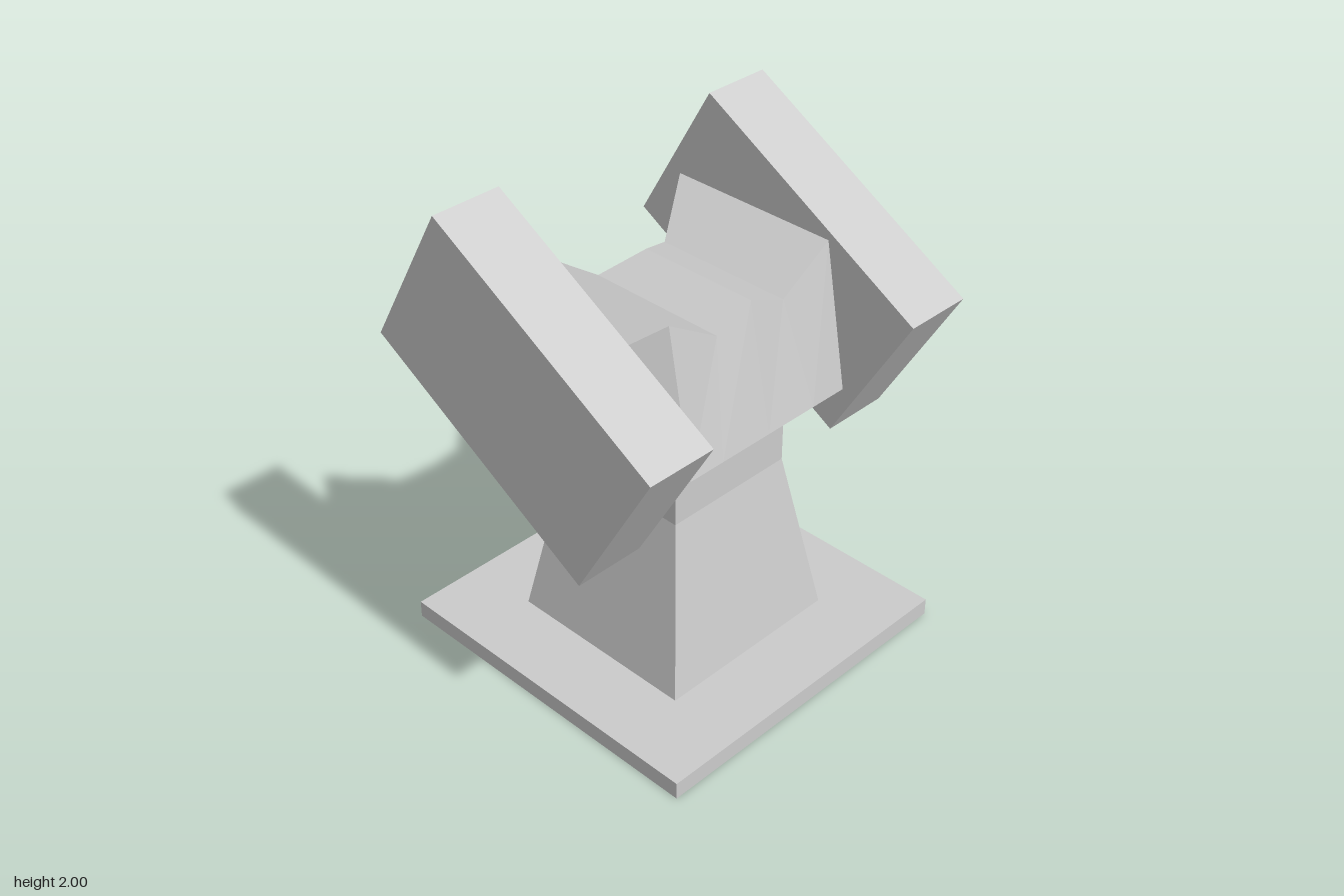
import * as THREE from 'three';

const material = new THREE.MeshStandardMaterial({ color: 0xcccccc, flatShading: true, side: THREE.DoubleSide });

// Joins four-cornered rings of [x, y, z] points; rings run counter-clockwise seen from outside the start.
function loft(name, rings, capStart, capEnd) {
  const pos = [];
  const quad = (a, b, c, d) => pos.push(...a, ...b, ...c, ...a, ...c, ...d);
  for (let i = 0; i < rings.length - 1; i++) {
    for (let k = 0; k < 4; k++) {
      const n = (k + 1) % 4;
      quad(rings[i][k], rings[i + 1][k], rings[i + 1][n], rings[i][n]);
    }
  }
  if (capStart) quad(...rings[0]);
  if (capEnd) quad(...[...rings[rings.length - 1]].reverse());
  const geometry = new THREE.BufferGeometry();
  geometry.setAttribute('position', new THREE.Float32BufferAttribute(pos, 3));
  geometry.computeVertexNormals();
  const mesh = new THREE.Mesh(geometry, material);
  mesh.name = name;
  return mesh;
}

// Rectangle in the xy plane at depth z.
const rect = (w, h, y, z) => [
  [-w / 2, y - h / 2, z], [w / 2, y - h / 2, z], [w / 2, y + h / 2, z], [-w / 2, y + h / 2, z],
];

// Hollow square shell open below, turned from half-width / height pairs.
function squareShell(name, profile) {
  const points = profile.map(([half, y]) => new THREE.Vector2(half * Math.SQRT2, y));
  const geometry = new THREE.LatheGeometry(points, 4).rotateY(Math.PI / 4);
  const mesh = new THREE.Mesh(geometry, material);
  mesh.name = name;
  mesh.position.set(0.077, 0, -0.022);
  return mesh;
}

// Head: cross-sections from side to side, with two valleys and a middle ridge on top.
function createHead() {
  // top x, top y, top front z, top back z, bottom x, bottom y, bottom front z, bottom back z
  const half = [
    [0.488, 1.637, 0.31, -0.18, 0.488, 1.247, 0.38, -0.26],
    [0.38, 1.715, 0.41, -0.28, 0.38, 1.165, 0.51, -0.38],
    [0.16, 1.58, 0.41, -0.14, 0.225, 1.165, 0.51, -0.38],
  ];
  const middle = [0, 1.645, 0.41, -0.07, 0, 1.165, 0.51, -0.38];
  const left = half.map((s) => s.map((v, i) => (i % 4 === 0 ? -v : v)));
  const rings = [...left, middle, ...[...half].reverse()].map(
    ([tx, ty, tf, tb, bx, by, bf, bb]) => [[tx, ty, tf], [tx, ty, tb], [bx, by, bb], [bx, by, bf]],
  );
  const head = loft('head', rings, true, true);
  head.position.x = -0.013;
  return head;
}

// Tilted box pod with two tapered recesses in its back end.
function createPod(name, x) {
  const w = 0.275, h = 0.658, l = 1.1, inset = 0.055, depth = 0.072;
  const pod = new THREE.Group();
  pod.name = name;
  pod.add(loft('podShell', [rect(w, h, 0, l / 2), rect(w, h, 0, -l / 2)], true, false));
  for (const y of [-h / 4, h / 4]) {
    const floor = rect(w - 2 * inset, h / 2 - 2 * inset, y, -l / 2 + depth).reverse();
    const rim = rect(w, h / 2, y, -l / 2).reverse();
    pod.add(loft('podRecess', [floor, rim], true, false));
  }
  pod.position.set(x, 1.44, 0.068);
  pod.rotation.x = Math.PI / 6;
  return pod;
}

export function createModel() {
  const model = new THREE.Group();
  model.name = 'turret';
  model.add(
    squareShell('basePlate', [[0.69, 0], [0.69, 0.07], [0.396, 0.07]]),
    squareShell('pedestal', [[0.396, 0.07], [0.279, 0.745], [0.279, 1.165]]),
    createHead(),
    createPod('leftPod', 0.612),
    createPod('rightPod', -0.638),
  );
  return model;
}
